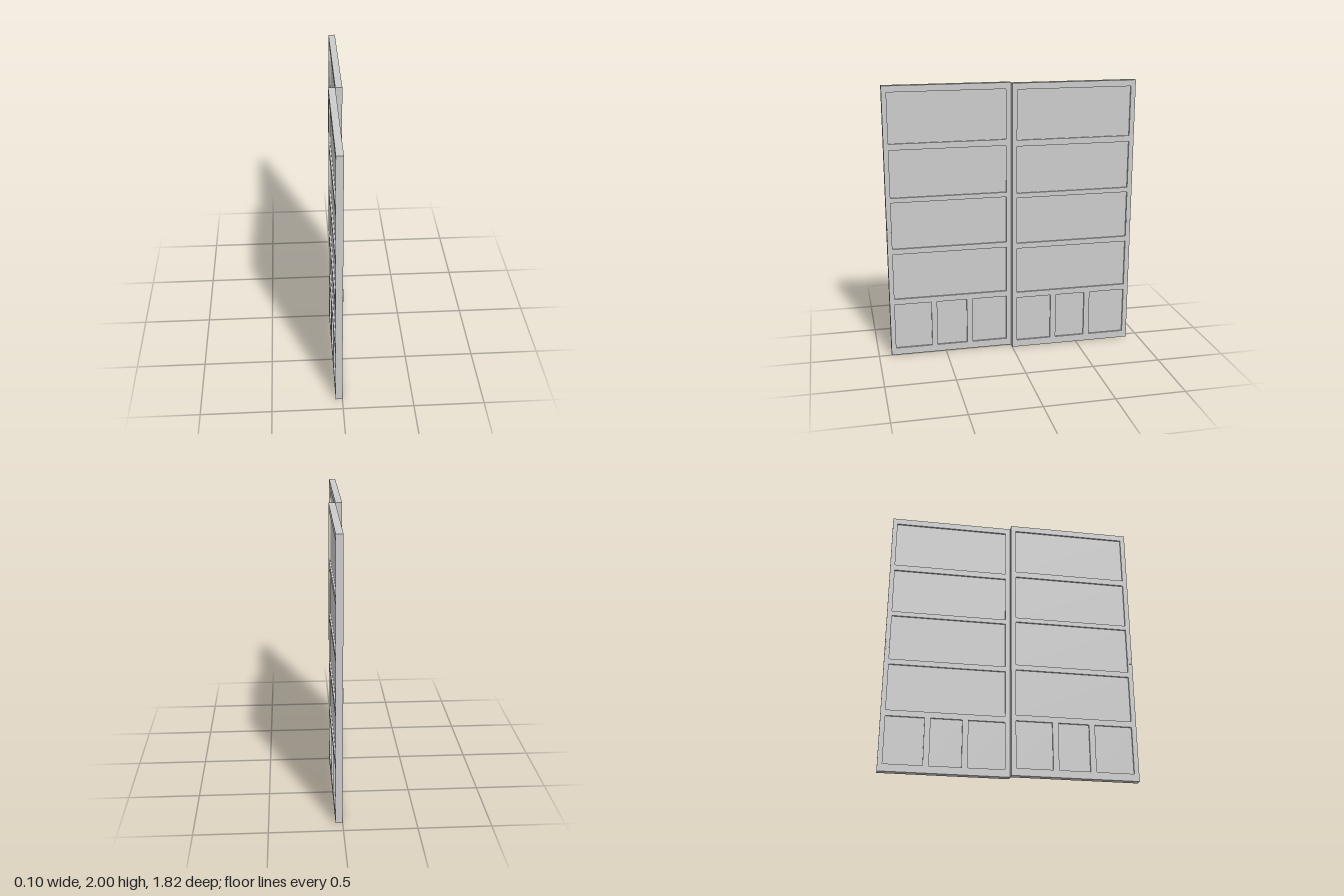
import * as THREE from 'three';

const HEIGHT = 2, WIDTH = 0.908, THICK = 0.048, RECESS = 0.012;

// Panel openings as [inner z, outer z, bottom y, top y], measured from the meeting edge
const rows = [[0.44, 0.785], [0.825, 1.17], [1.205, 1.55], [1.595, 1.955]];
const openings = rows.map(([y0, y1]) => [0.035, 0.873, y0, y1]);
for (const [z0, z1] of [[0.035, 0.295], [0.337, 0.56], [0.602, 0.873]]) {
  openings.push([z0, z1, 0.053, 0.397]);
}

function rectangle(PathType, z0, z1, y0, y1) {
  // shape x becomes -z after the frame is turned to face sideways
  const p = new PathType();
  p.moveTo(-z1, y0);
  p.lineTo(-z0, y0);
  p.lineTo(-z0, y1);
  p.lineTo(-z1, y1);
  p.closePath();
  return p;
}

function addMesh(group, name, geometry, material) {
  const mesh = new THREE.Mesh(geometry, material);
  mesh.name = name;
  group.add(mesh);
  return mesh;
}

// One sliding leaf spanning x from -THICK to 0 and z from 0 to WIDTH
function createDoor(name, material) {
  const door = new THREE.Group();
  door.name = name;

  // Stiles and rails in a single frame
  const outline = rectangle(THREE.Shape, 0, WIDTH, 0, HEIGHT);
  outline.holes = openings.map((o) => rectangle(THREE.Path, ...o));
  const frame = new THREE.ExtrudeGeometry(outline, { depth: THICK, bevelEnabled: false });
  frame.rotateY(Math.PI / 2).translate(-THICK, 0, 0);
  addMesh(door, 'frame', frame, material);

  // Infill panels, recessed on both faces
  for (const [z0, z1, y0, y1] of openings) {
    const panel = new THREE.BoxGeometry(THICK - 2 * RECESS, y1 - y0, z1 - z0);
    addMesh(door, 'panel', panel, material)
      .position.set(-THICK / 2, (y0 + y1) / 2, (z0 + z1) / 2);
  }

  // Shallow rounded finger pulls on the outer stile, one per face
  for (const x of [-THICK, 0]) {
    const pull = new THREE.CylinderGeometry(1, 1, 0.095, 24);
    pull.scale(0.003, 1, 0.014);
    addMesh(door, 'fingerPull', pull, material).position.set(x, 0.938, 0.89);
  }
  return door;
}

export function createModel() {
  const grey = new THREE.MeshStandardMaterial({ color: 0xcccccc });
  grey.name = 'door grey';

  const model = new THREE.Group();
  model.name = 'slidingDoors';
  const front = createDoor('frontDoor', grey);
  const rear = createDoor('rearDoor', grey);
  rear.rotation.y = Math.PI;
  model.add(front, rear);
  return model;
}
